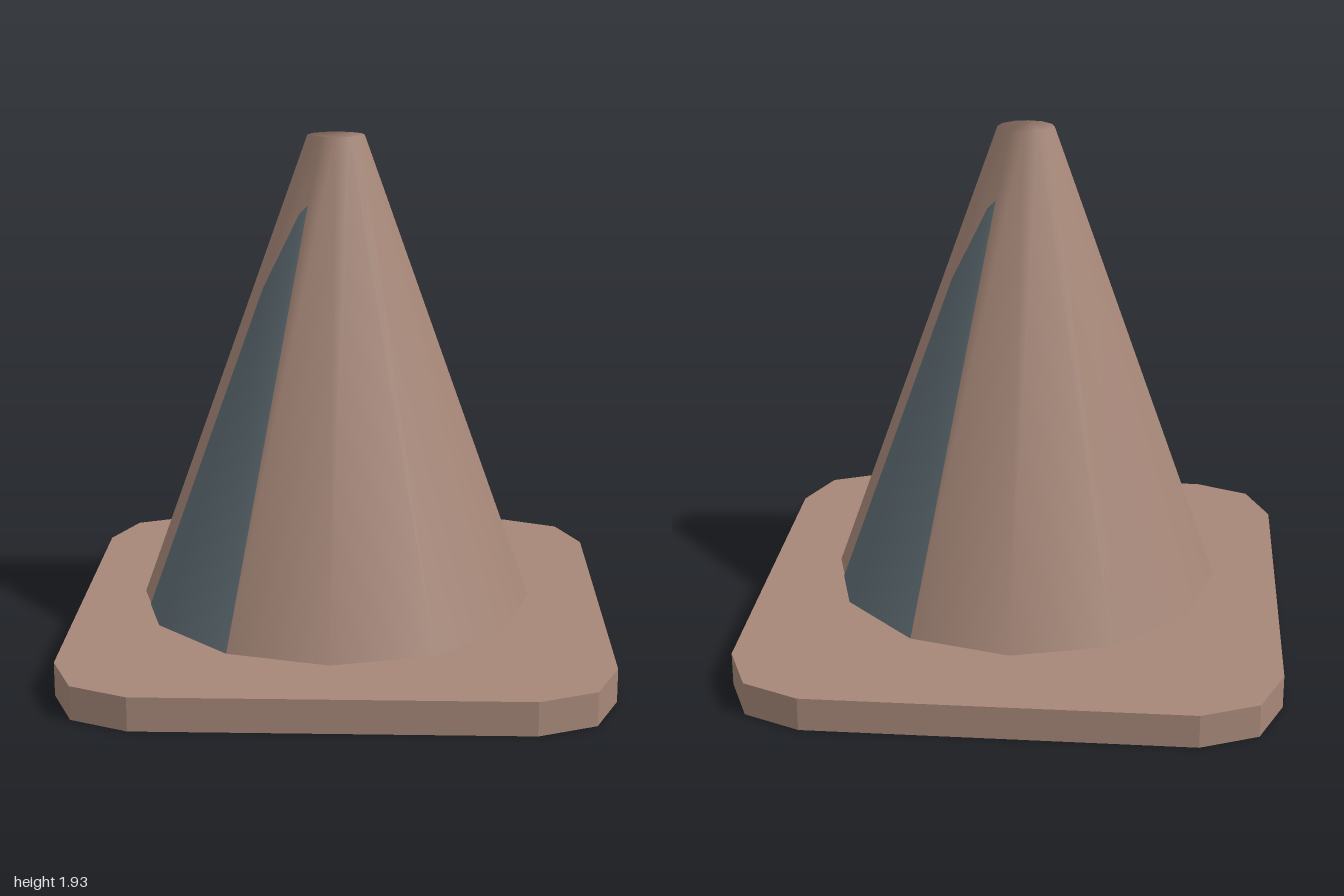
import * as THREE from 'three';

const SIDES = 12, R0 = 0.74, R1 = 0.105, Y0 = 0.16, Y1 = 1.93, PLATE = 0.125;

function makeGeometry(points, index) {
  const g = new THREE.BufferGeometry();
  g.setAttribute('position', new THREE.Float32BufferAttribute(points.flat(), 3));
  g.setIndex(index);
  g.computeVertexNormals();
  return g;
}

// Closed-top tapered shell with normals shared around the rim
function coneGeometry() {
  const points = [], index = [];
  for (const [r, y] of [[R0, Y0], [R1, Y1]]) {
    for (let i = 0; i < SIDES; i++) {
      const a = i / SIDES * Math.PI * 2;
      points.push([Math.sin(a) * r, y, Math.cos(a) * r]);
    }
  }
  for (let i = 0; i < SIDES; i++) {
    const j = (i + 1) % SIDES;
    index.push(i, j, SIDES + j, i, SIDES + j, SIDES + i);
    if (i > 0 && i < SIDES - 1) index.push(SIDES, SIDES + i, SIDES + j);
  }
  return makeGeometry(points, index);
}

// Tapering coloured panel lying just off two neighbouring cone facets
function panelGeometry() {
  const outline = [
    [-0.70, 0.16, 0.15], [-0.641, 0.16, 0.37], [-0.37, 0.16, 0.641],
    [-0.095, 1.693, 0.165], [-0.126, 1.66, 0.15], [-0.26, 1.386, 0.15],
  ];
  const normals = outline.map(([x, , z]) => {
    const r = Math.hypot(x, z);
    return [x / r * 0.941, 0.338, z / r * 0.941];
  });
  const points = outline.map((p, i) => p.map((v, k) => v + normals[i][k] * 0.003));
  const g = makeGeometry(points, [0, 1, 5, 1, 2, 5, 2, 4, 5, 2, 3, 4]);
  g.setAttribute('normal', new THREE.Float32BufferAttribute(normals.flat(), 3));
  return g;
}

// Square plate outline with clipped, two-facet corners
function plateOutline() {
  const corner = [[1, 0.7], [0.91, 0.91], [0.7, 1]];
  const out = [];
  for (let q = 0; q < 4; q++) {
    for (const [x, y] of corner) {
      out.push(new THREE.Vector2(x, y).rotateAround(new THREE.Vector2(), q * Math.PI / 2));
    }
  }
  return out;
}

export function createModel() {
  const brown = new THREE.MeshStandardMaterial({ color: 0xa68778, side: THREE.DoubleSide });
  brown.name = 'dusty brown';
  const slate = new THREE.MeshStandardMaterial({ color: 0x5f6c73, side: THREE.DoubleSide });
  slate.name = 'slate';

  const model = new THREE.Group();
  model.name = 'trafficCone';
  const add = (parent, name, geometry, material) => {
    const mesh = new THREE.Mesh(geometry, material);
    mesh.name = name;
    parent.add(mesh);
    return mesh;
  };

  // Base: thin hollow tray, open underneath
  const base = new THREE.Group();
  base.name = 'base';
  model.add(base);
  const outline = plateOutline();
  const top = new THREE.ShapeGeometry(new THREE.Shape(outline));
  top.rotateX(-Math.PI / 2).translate(0, PLATE, 0);
  add(base, 'baseTop', top, brown);

  const wall = [], wallIndex = [];
  outline.forEach((p, i) => {
    const q = outline[(i + 1) % outline.length], n = i * 4;
    wall.push([p.x, 0, -p.y], [q.x, 0, -q.y], [q.x, PLATE, -q.y], [p.x, PLATE, -p.y]);
    wallIndex.push(n, n + 1, n + 2, n, n + 2, n + 3);
  });
  add(base, 'baseWall', makeGeometry(wall, wallIndex), brown);

  // Cone body, set slightly off centre above the base
  const body = new THREE.Group();
  body.name = 'coneBody';
  body.position.set(-0.015, 0, 0.045);
  model.add(body);
  add(body, 'cone', coneGeometry(), brown);

  // Thin seat disc on the base
  const seat = new THREE.CircleGeometry(0.805, SIDES);
  seat.rotateX(-Math.PI / 2).translate(0, PLATE + 0.003, 0);
  add(body, 'seatDisc', seat, brown);

  // Two opposite slate panels
  for (const [name, turn] of [['rightPanel', 0], ['leftPanel', Math.PI]]) {
    add(body, name, panelGeometry(), slate).rotation.y = turn;
  }
  return model;
}
